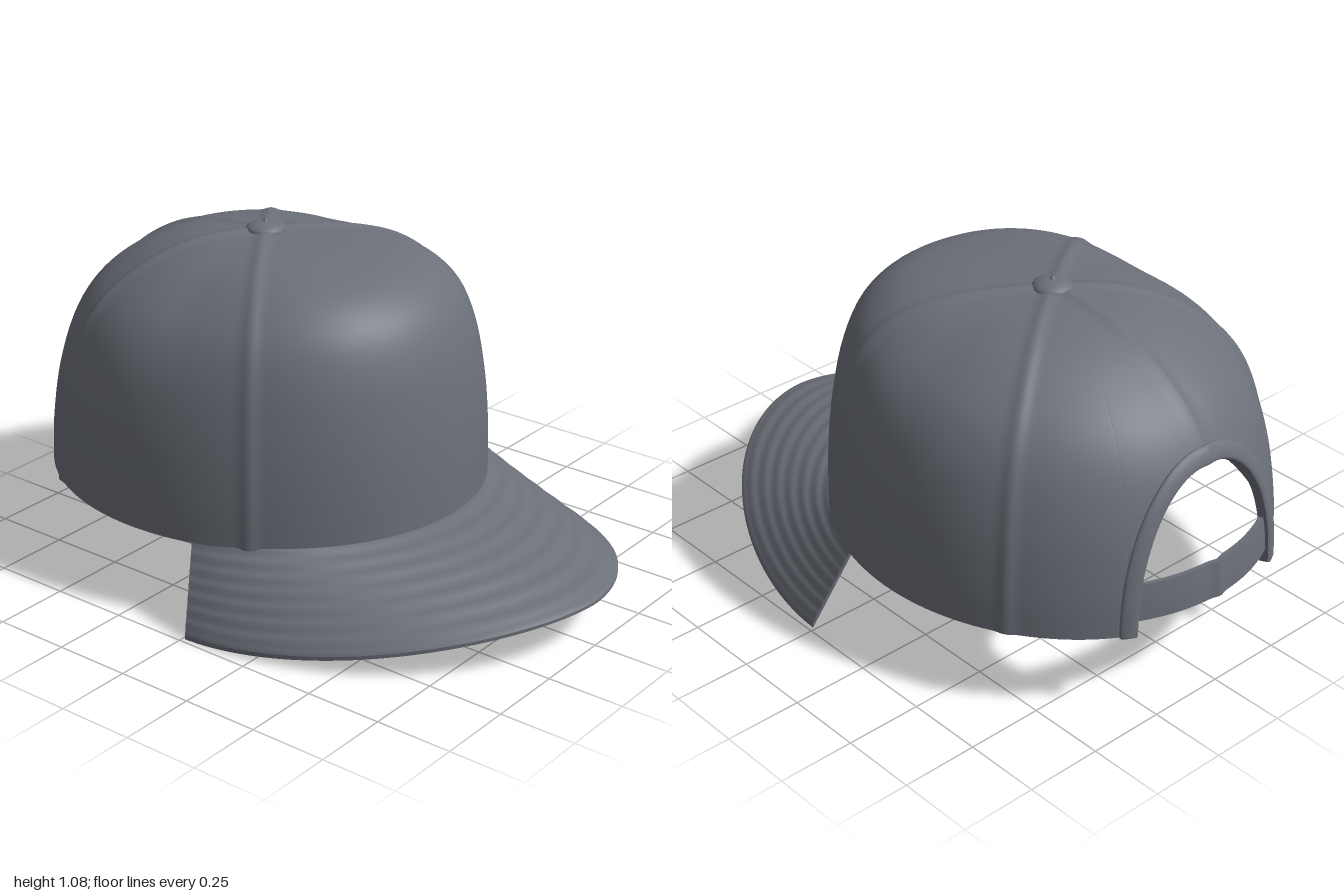
import * as THREE from 'three';

const fabric = new THREE.MeshStandardMaterial({ color: 0x6c7079, side: THREE.DoubleSide });
fabric.name = 'grey fabric';

const { lerp } = THREE.MathUtils;
const TAU = Math.PI * 2;
const steps = (a, b, n) => Array.from({ length: n + 1 }, (_, i) => lerp(a, b, i / n));

// Solid sheet: f(u, v, h) gives a point, h = 1 outer face, h = 0 inner face
function sheet(name, us, vs, f) {
  const pos = [], idx = [];
  const grid = (as, bs, g) => {
    const base = pos.length / 3, w = bs.length;
    for (const a of as) for (const b of bs) pos.push(...g(a, b));
    for (let i = 0; i < as.length - 1; i++) {
      for (let j = 0; j < w - 1; j++) {
        const p = base + i * w + j, q = p + w;
        idx.push(p, p + 1, q, q, p + 1, q + 1);
      }
    }
  };
  const u0 = us[0], u1 = us[us.length - 1], v0 = vs[0], v1 = vs[vs.length - 1];
  grid(us, vs, (u, v) => f(u, v, 1));
  grid(vs, us, (v, u) => f(u, v, 0));
  grid(us, [0, 1], (u, h) => f(u, v0, h));
  grid(us, [1, 0], (u, h) => f(u, v1, h));
  grid([0, 1], vs, (h, v) => f(u0, v, h));
  grid([1, 0], vs, (h, v) => f(u1, v, h));
  const geo = new THREE.BufferGeometry();
  geo.setAttribute('position', new THREE.Float32BufferAttribute(pos, 3));
  geo.setIndex(idx);
  geo.computeVertexNormals();
  const mesh = new THREE.Mesh(geo, fabric);
  mesh.name = name;
  return mesh;
}

// Crown profiles as (radius fraction, height): boxy in front, rounder behind
const profile = (pts) => new THREE.SplineCurve(pts.map(([r, y]) => new THREE.Vector2(r, y)));
const frontProfile = profile([[1, 0.265], [0.995, 0.45], [0.975, 0.62], [0.93, 0.79], [0.85, 0.915],
  [0.7, 0.995], [0.47, 1.03], [0.22, 1.042], [0, 1.045]]);
const backProfile = profile([[1, 0.265], [0.99, 0.4], [0.95, 0.58], [0.87, 0.75], [0.75, 0.87],
  [0.56, 0.965], [0.37, 1.02], [0.18, 1.042], [0, 1.045]]);
const seams = [0, 0.99, -0.99, 2.13, -2.13];
const CZ = -0.27;

const frontness = (d) => {
  const k = Math.max(0, -Math.cos(d));
  return k * k * (3 - 2 * k);
};
const section = (d, t) => backProfile.getPoint(t).lerp(frontProfile.getPoint(t), frontness(d));

// Point on the crown: d is the angle from the back, t runs up the profile
function crownPoint(d, t, off = 0) {
  const p = section(d, t);
  const a = section(d, Math.max(0, t - 0.005)), b = section(d, Math.min(1, t + 0.005));
  const n = new THREE.Vector2(b.y - a.y, (a.x - b.x) * 0.7).normalize();
  // raised seam ridges between the panels
  for (const s of seams) {
    const gap = Math.atan2(Math.sin(d - s), Math.cos(d - s)) * 0.7 * p.x;
    off += 0.008 * Math.exp(-((gap / 0.022) ** 2));
  }
  const rz = lerp(0.73, 0.74, frontness(d));
  return [
    Math.sin(d) * (0.66 * p.x + n.x * off),
    p.y + n.y * off,
    CZ - Math.cos(d) * (rz * p.x + n.x * off),
  ];
}

// Profile parameter at a given height
function tAt(d, y) {
  let lo = 0, hi = 1;
  for (let i = 0; i < 22; i++) {
    const mid = (lo + hi) / 2;
    if (section(d, mid).y < y) lo = mid; else hi = mid;
  }
  return lo;
}

// Arched opening at the back
const HALF = 0.47, RISE = 0.485, POWER = 2.3, BASE = 0.265;
const archHeight = (d) => BASE + RISE * Math.max(0, 1 - (Math.abs(d) / HALF) ** POWER) ** (1 / POWER);

function crown() {
  const us = [
    ...steps(-Math.PI, -HALF, 150),
    ...steps(-Math.PI / 2, Math.PI / 2, 48).slice(1, -1).map((q) => HALF * Math.sin(q)),
    ...steps(HALF, Math.PI, 150),
  ];
  const start = new Map(us.map((d) => [d, Math.abs(d) < HALF ? tAt(d, archHeight(d)) : 0]));
  return sheet('crown', us, steps(0, 1, 40),
    (d, v, h) => crownPoint(d, lerp(start.get(d), 1, v), h ? 0 : -0.015));
}

function openingTrim() {
  return sheet('openingTrim', steps(0, Math.PI, 72), [0, 0.12, 0.5, 0.88, 1], (s, v, h) => {
    const c = Math.cos(s), e = 2 / POWER;
    const d = -(HALF - 0.04 + 0.08 * v) * Math.sign(c) * Math.abs(c) ** e;
    const y = BASE + (RISE - 0.025 + 0.05 * v) * Math.max(0, Math.sin(s)) ** e;
    const round = v === 0 || v === 1 ? 0.006 : 0.013;
    return crownPoint(d, tAt(d, y), h ? round : -0.022);
  });
}

// Band of cloth that follows the crown between two heights
function band(name, d0, d1, y0, y1, outer, inner) {
  return sheet(name, steps(d0, d1, 120), steps(y0, y1, 6),
    (d, y, h) => crownPoint(d, tAt(d, y), h ? outer : inner));
}

function brim() {
  const ROWS = 56;
  return sheet('brim', steps(-Math.PI / 2, Math.PI / 2, 96), steps(0, 1, ROWS), (u, v, h) => {
    // inner edge follows the crown, outer edge is a drooping oval
    const phi = (u / (Math.PI / 2)) * 1.27;
    const ix = 0.65 * Math.sin(phi), iz = CZ + 0.73 * Math.cos(phi);
    const s = Math.sin(u), e = 2 / 1.8;
    const ox = 0.735 * Math.sign(s) * Math.abs(s) ** e;
    const oz = 0.01 + 0.99 * Math.max(0, Math.cos(u)) ** e;
    const oy = 0.16 - 0.14 * (ox / 0.735) ** 2;
    // slight arch and rows of stitching
    const y = lerp(0.28, oy, v) + 0.04 * v * (1 - v) * Math.cos(u);
    const stitch = h ? 0.002 * Math.sin(v * TAU * 7) : 0;
    const edge = v === 1 ? 0.005 : 0;
    return [lerp(ix, ox, v), y + stitch - (h ? edge : 0.02 - edge * Math.abs(Math.cos(u))), lerp(iz, oz, v)];
  });
}

function topButton() {
  const mesh = new THREE.Mesh(new THREE.SphereGeometry(0.063, 32, 16), fabric);
  mesh.scale.y = 0.43;
  mesh.position.set(0, 1.045, CZ);
  mesh.name = 'topButton';
  return mesh;
}

export function createModel() {
  const cap = new THREE.Group();
  cap.name = 'cap';
  cap.add(
    crown(),
    openingTrim(),
    band('sweatband', HALF + 0.03, TAU - HALF - 0.03, 0.267, 0.53, -0.016, -0.024),
    band('backStrap', -0.5, 0.5, 0.31, 0.43, -0.004, -0.02),
    brim(),
    topButton(),
  );
  return cap;
}
